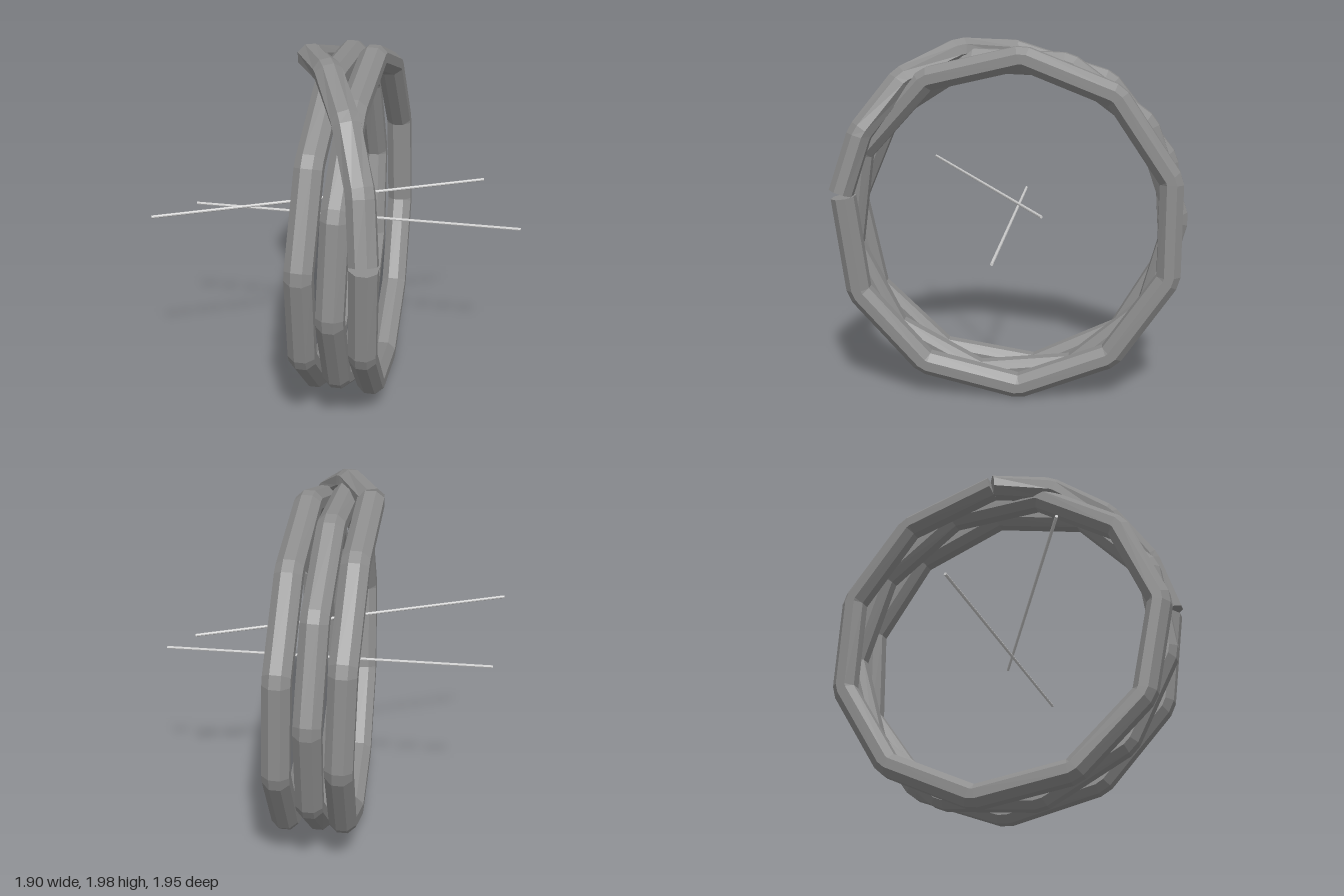
import * as THREE from 'three';

const CENTRE_Y = 0.99;
const coilMaterial = new THREE.MeshStandardMaterial({ color: 0x8c8c8c, flatShading: true });
const rodMaterial = new THREE.MeshStandardMaterial({ color: 0xcccccc, flatShading: true });

// Sweeps an octagonal section along straight runs, with a short chamfer at every bend.
function sweep(name, points, bevel = 0.018, sides = 8) {
  const positions = [], index = [];
  const radial = 0.07, lateral = 0.077;
  let rings = 0;
  const addRing = (p, t) => {
    const n = new THREE.Vector3(0, p.y - CENTRE_Y, p.z);
    n.addScaledVector(t, -n.dot(t)).normalize();
    const b = new THREE.Vector3().crossVectors(t, n);
    for (let j = 0; j < sides; j++) {
      const a = ((j + 0.5) / sides) * Math.PI * 2;
      const v = p.clone().addScaledVector(n, Math.cos(a) * radial).addScaledVector(b, Math.sin(a) * lateral);
      positions.push(v.x, v.y, v.z);
    }
    rings++;
  };
  for (let i = 0; i < points.length - 1; i++) {
    const t = points[i + 1].clone().sub(points[i]).normalize();
    addRing(points[i].clone().addScaledVector(t, i ? bevel : 0), t);
    addRing(points[i + 1].clone().addScaledVector(t, i < points.length - 2 ? -bevel : 0), t);
  }
  for (let i = 0; i < rings - 1; i++) {
    for (let j = 0; j < sides; j++) {
      const k = (j + 1) % sides;
      const a = i * sides + j, b = i * sides + k;
      index.push(a, b, b + sides, a, b + sides, a + sides);
    }
  }
  // end caps
  const last = (rings - 1) * sides;
  for (let j = 1; j < sides - 1; j++) {
    index.push(0, j + 1, j, last, last + j, last + j + 1);
  }
  const geometry = new THREE.BufferGeometry();
  geometry.setAttribute('position', new THREE.Float32BufferAttribute(positions, 3));
  geometry.setIndex(index);
  geometry.computeVertexNormals();
  const mesh = new THREE.Mesh(geometry, coilMaterial);
  mesh.name = name;
  return mesh;
}

// Thin straight rod between two points.
function rod(name, from, to) {
  const dir = to.clone().sub(from);
  const mesh = new THREE.Mesh(new THREE.CylinderGeometry(0.008, 0.008, dir.length(), 8), rodMaterial);
  mesh.position.copy(from).add(to).multiplyScalar(0.5);
  mesh.quaternion.setFromUnitVectors(new THREE.Vector3(0, 1, 0), dir.normalize());
  mesh.name = name;
  return mesh;
}

export function createModel() {
  const group = new THREE.Group();
  group.name = 'coil';
  const V = (x, y, z) => new THREE.Vector3(x, y, z);

  // Helix winding: starts at the top, goes back, down, forward, for 1000 degrees
  const segments = 29, radius = 0.917, pitch = 0.16;
  const turns = 1000 / 360;
  const helix = [];
  for (let i = 0; i <= segments; i++) {
    const turn = (turns * i) / segments;
    const a = turn * Math.PI * 2;
    helix.push(V(-0.21 + pitch * turn, CENTRE_Y + radius * Math.cos(a), -radius * Math.sin(a)));
  }
  group.add(sweep('helixWinding', helix));

  // Return strand crossing over the windings, from the helix end to its start
  group.add(sweep('crossingStrand', [
    V(0.235, 1.17, 0.915),
    V(0.2, 1.5, 0.81),
    V(0.09, 1.78, 0.6),
    V(-0.06, 1.93, 0.3),
    V(-0.215, 1.91, 0),
  ]));

  // Straight rods through the ring
  group.add(rod('axisRod', V(-0.9, 0.99, 0), V(0.95, 0.99, 0)));
  group.add(rod('slantedRod', V(-0.95, 1.175, 0.59), V(0.72, 1.175, -0.22)));
  return group;
}
